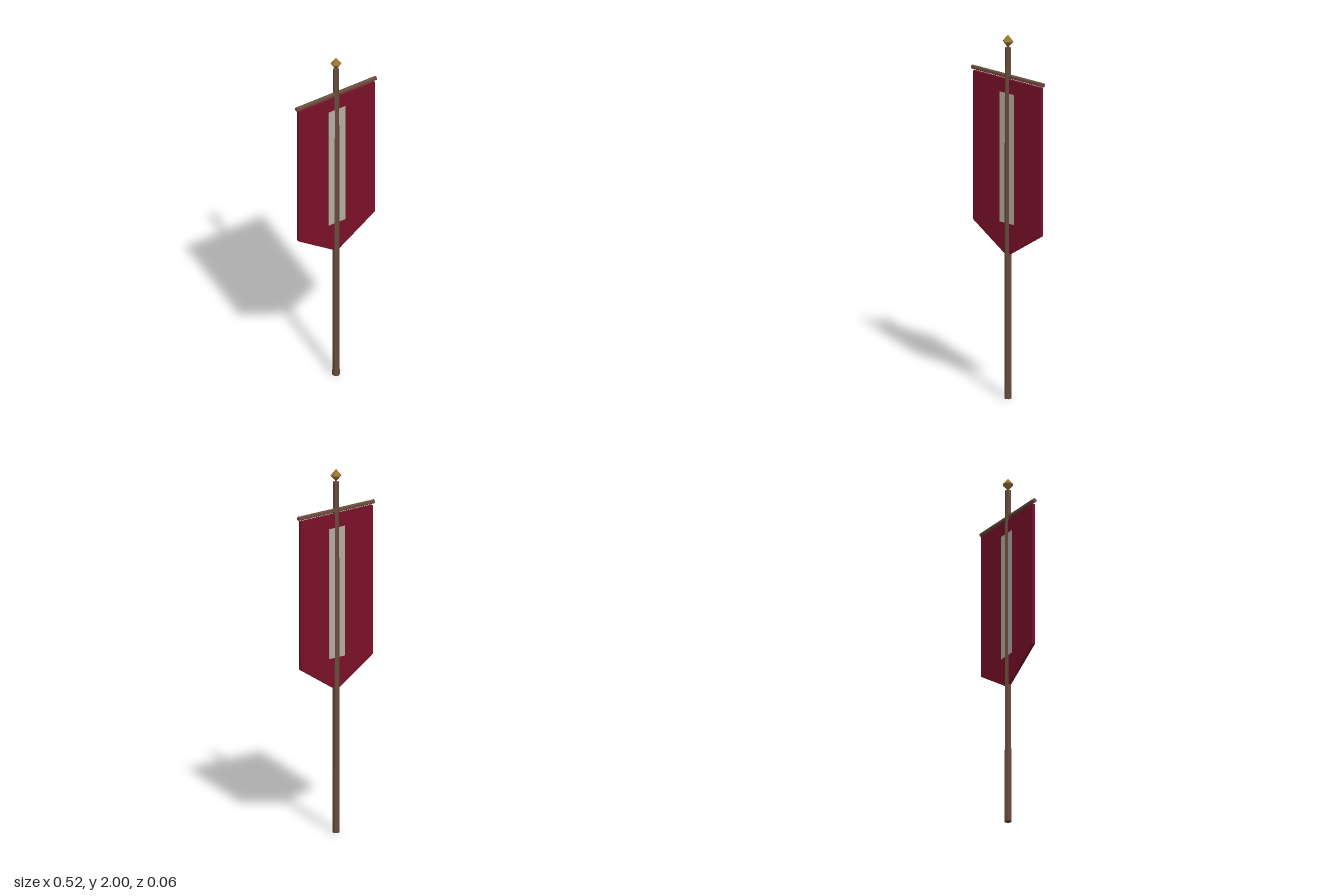
import * as THREE from 'three';

const mat = (name, color) => {
  const m = new THREE.MeshStandardMaterial({ color });
  m.name = name;
  return m;
};

export function createModel() {
  const wood = mat('brown wood', 0x694c3c);
  const crimson = mat('crimson cloth', 0x7b112a);
  const pale = mat('pale cloth', 0xb5aea2);
  const brass = mat('aged brass', 0x9a7434);

  const group = new THREE.Group();
  group.name = 'banner';
  const add = (name, geometry, material, y = 0) => {
    // Faceted low-poly normals
    const flat = geometry.index ? geometry.toNonIndexed() : geometry;
    flat.computeVertexNormals();
    const mesh = new THREE.Mesh(flat, material);
    mesh.name = name;
    mesh.position.y = y;
    group.add(mesh);
    return mesh;
  };

  // Six-sided pole, tapering upwards
  const poleHeight = 1.93;
  add('pole', new THREE.CylinderGeometry(0.017, 0.02, poleHeight, 6), wood, poleHeight / 2);

  // Crossbar with a ridge along its top
  const bar = new THREE.CylinderGeometry(0.012, 0.012, 0.522, 6);
  bar.rotateY(Math.PI / 6).rotateZ(Math.PI / 2);
  add('crossbar', bar, wood, 1.773);

  // Double-pointed finial
  add('finial', new THREE.SphereGeometry(0.03, 6, 2).rotateY(Math.PI / 6).scale(1, 0.035 / 0.03, 1), brass, 1.965);

  // Cloth with a pointed lower edge
  const outline = new THREE.Shape([
    [-0.25, 1.756], [-0.25, 0.94], [0, 0.785], [0.25, 0.94], [0.25, 1.756],
  ].map(([x, y]) => new THREE.Vector2(x, y)));
  const depth = 0.017;
  const cloth = new THREE.ExtrudeGeometry(outline, { depth, bevelEnabled: false });
  cloth.translate(0, 0, -depth / 2);
  add('cloth', cloth, crimson);

  // Pale stripe on both faces of the cloth
  for (const side of [1, -1]) {
    const stripe = add(side > 0 ? 'frontStripe' : 'backStripe',
      new THREE.BoxGeometry(0.108, 0.715, 0.002), pale, 1.322);
    stripe.position.z = side * 0.0081;
  }
  return group;
}
